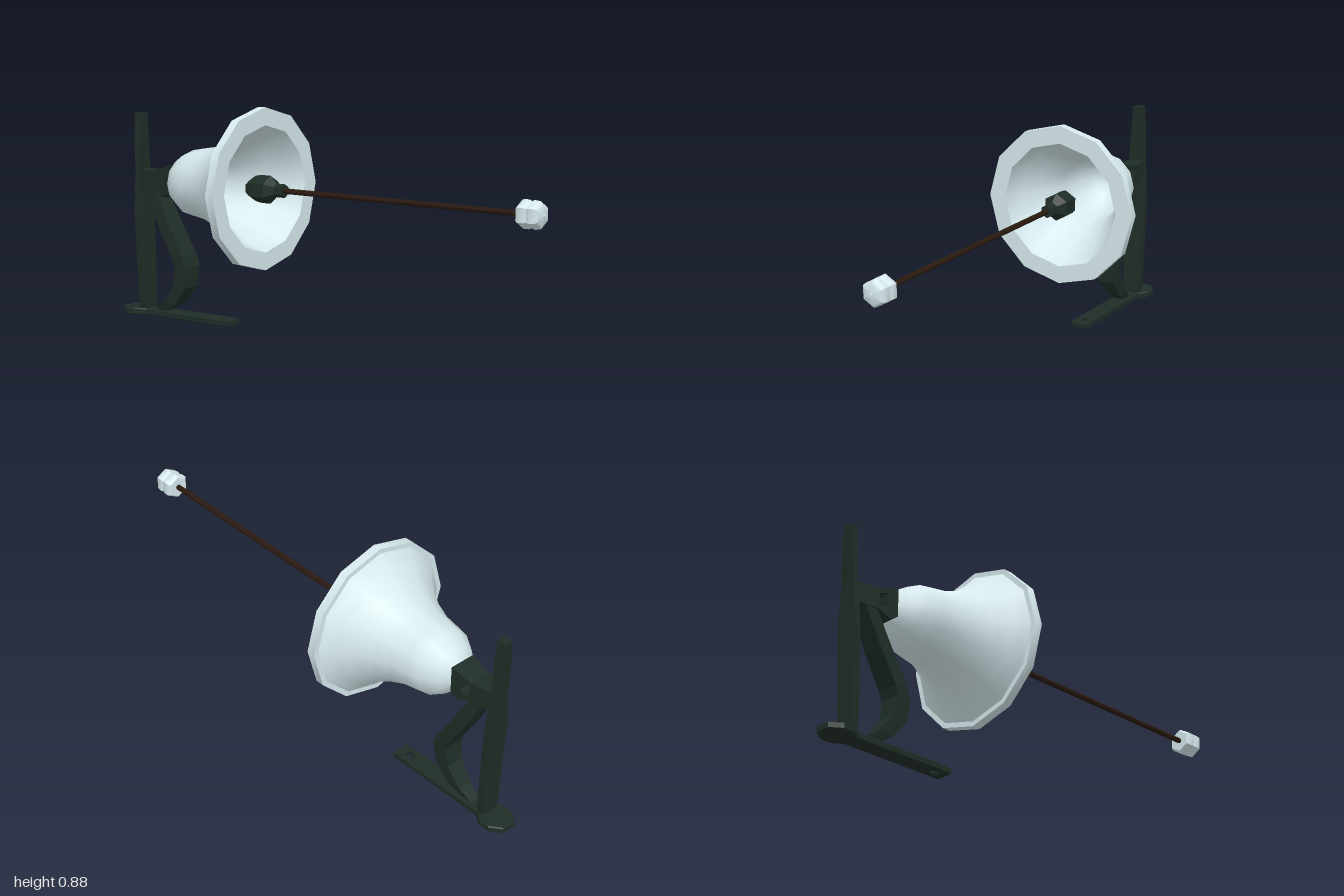
import * as THREE from 'three';
import { toCreasedNormals } from 'three/addons/utils/BufferGeometryUtils.js';

const AXIS_Y = 0.563;
const paint = (color, flatShading = false) =>
  new THREE.MeshStandardMaterial({ color, flatShading });
const pale = paint(0xd6e9ed);
const iron = paint(0x1f2d27, true);
const brown = paint(0x2a1a10);

// Profile of [radius, z] turned round the horizontal bell axis
function turned(name, profile, sides, material) {
  const pts = profile.map(([r, z]) => new THREE.Vector2(r, z));
  const geo = new THREE.LatheGeometry(pts, sides);
  geo.rotateX(Math.PI / 2);
  geo.translate(0, AXIS_Y, 0);
  const mesh = new THREE.Mesh(toCreasedNormals(geo, 0.75), material);
  mesh.name = name;
  return mesh;
}

// Bar lofted through rectangular sections [frontZ, frontY, backZ, backY, halfWidth], bottom to top
function bar(name, sections) {
  const pos = [], index = [];
  for (const [fz, fy, bz, by, w] of sections)
    pos.push(-w, fy, fz, w, fy, fz, w, by, bz, -w, by, bz);
  for (let s = 0; s < sections.length - 1; s++)
    for (let k = 0; k < 4; k++) {
      const a = s * 4 + k, b = s * 4 + (k + 1) % 4;
      index.push(a, b, b + 4, a, b + 4, a + 4);
    }
  const t = (sections.length - 1) * 4;
  index.push(0, 2, 1, 0, 3, 2, t, t + 1, t + 2, t, t + 2, t + 3);
  const geo = new THREE.BufferGeometry();
  geo.setAttribute('position', new THREE.Float32BufferAttribute(pos, 3));
  geo.setIndex(index);
  geo.computeVertexNormals();
  const mesh = new THREE.Mesh(geo, iron);
  mesh.name = name;
  return mesh;
}

const outline = pts => pts.map(([a, b]) => new THREE.Vector2(a, b));

export function createModel() {
  const group = new THREE.Group();

  // Bell: outer flare, thick lip and inner wall in one closed profile
  group.add(turned('bell', [
    [0, -0.745], [0.035, -0.735], [0.095, -0.69], [0.13, -0.635], [0.14, -0.58],
    [0.15, -0.515], [0.172, -0.455], [0.202, -0.4], [0.25, -0.34], [0.3, -0.295],
    [0.32, -0.295], [0.32, -0.26], [0.25, -0.26], [0.222, -0.335], [0.182, -0.4],
    [0.152, -0.455], [0.13, -0.515], [0.118, -0.6], [0.075, -0.68], [0, -0.72],
  ], 12, pale));

  // Clapper weight, its rod and the pull at the end
  group.add(turned('clapper', [
    [0, -0.345], [0.03, -0.34], [0.05, -0.31], [0.055, -0.28], [0.055, -0.235],
    [0.027, -0.205], [0.027, -0.165], [0, -0.165],
  ], 6, iron));
  group.add(turned('clapperRod', [[0, -0.17], [0.011, -0.17], [0.011, 0.91], [0, 0.91]], 8, brown));
  group.add(turned('pullKnob', [
    [0, 0.9], [0.045, 0.9], [0.053, 0.91], [0.053, 0.935], [0.048, 0.945],
    [0.053, 0.955], [0.05, 0.98], [0.042, 0.988], [0, 0.992],
  ], 6, pale));
  group.add(turned('knobPin', [[0, 0.98], [0.006, 0.98], [0.006, 1], [0, 1]], 6, pale));

  // Upright post and bowed front strut
  group.add(bar('rearPost', [
    [-0.872, 0.015, -0.904, 0.015, 0.03], [-0.872, 0.06, -0.905, 0.06, 0.037],
    [-0.88, 0.25, -0.91, 0.25, 0.042], [-0.89, 0.42, -0.915, 0.42, 0.047],
    [-0.9, 0.6, -0.918, 0.6, 0.035], [-0.897, 0.75, -0.932, 0.75, 0.024],
    [-0.897, 0.83, -0.933, 0.83, 0.019],
  ]));
  group.add(bar('frontStrut', [
    [-0.78, 0.02, -0.835, 0.02, 0.016], [-0.71, 0.06, -0.775, 0.065, 0.03],
    [-0.65, 0.135, -0.715, 0.14, 0.036], [-0.643, 0.22, -0.703, 0.22, 0.043],
    [-0.66, 0.265, -0.715, 0.255, 0.045], [-0.735, 0.39, -0.79, 0.38, 0.042],
    [-0.81, 0.53, -0.865, 0.53, 0.036],
  ]));

  // Pierced arm holding the bell; it narrows towards the post
  const arm = new THREE.Shape(outline([
    [0.727, 0.515], [0.757, 0.497], [0.81, 0.522], [0.91, 0.522],
    [0.91, 0.6], [0.81, 0.602], [0.727, 0.628],
  ]));
  arm.holes.push(new THREE.Path(outline([
    [0.765, 0.545], [0.77, 0.595], [0.805, 0.585], [0.805, 0.535],
  ])));
  const armGeo = new THREE.ExtrudeGeometry(arm, { depth: 2, bevelEnabled: false });
  armGeo.translate(0, 0, -1).rotateY(Math.PI / 2);
  const p = armGeo.attributes.position;
  for (let i = 0; i < p.count; i++)
    p.setX(i, p.getX(i) * THREE.MathUtils.mapLinear(p.getZ(i), -0.91, -0.727, 0.031, 0.056));
  armGeo.computeVertexNormals();
  const armMesh = new THREE.Mesh(armGeo, iron);
  armMesh.name = 'bellArm';
  group.add(armMesh);

  // Base plate: long foot with a slot at the front and a wide faceted pad at the back
  const half = [[0.036, 0.43], [0.036, 0.87], [0.063, 0.91], [0.063, 0.955], [0.03, 1]];
  const plate = new THREE.Shape(outline(
    [...half, ...half.map(([x, z]) => [-x, z]).reverse()]));
  plate.holes.push(new THREE.Path(outline([
    [-0.014, 0.46], [0.014, 0.46], [0.014, 0.5], [-0.014, 0.5],
  ])));
  const plateGeo = new THREE.ExtrudeGeometry(plate, {
    depth: 0.019, bevelThickness: 0.004, bevelSize: 0.004, bevelOffset: -0.004, bevelSegments: 1,
  });
  plateGeo.rotateX(-Math.PI / 2).translate(0, 0.004, 0);
  const plateMesh = new THREE.Mesh(plateGeo, iron);
  plateMesh.name = 'basePlate';
  group.add(plateMesh);

  return group;
}
